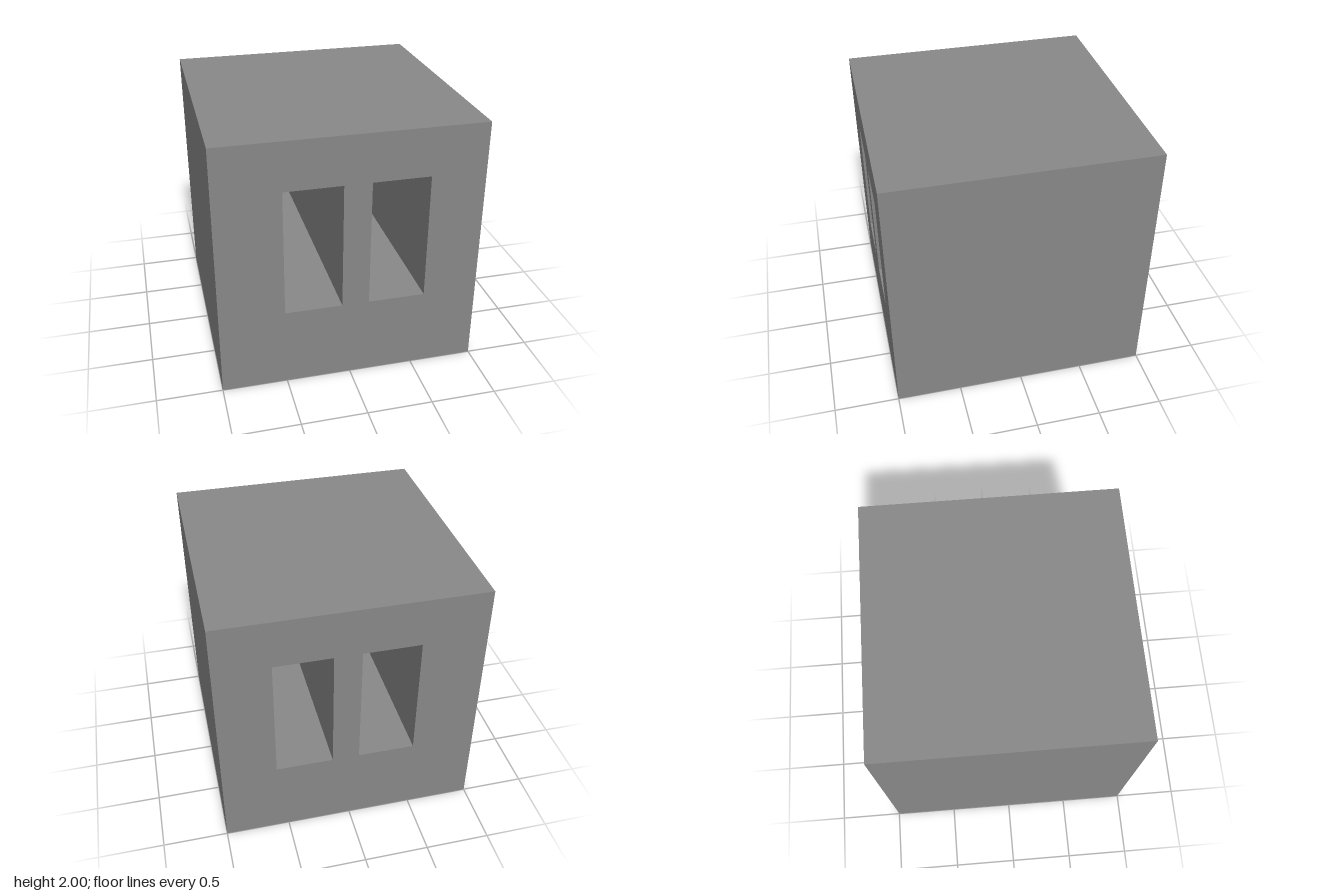
import * as THREE from 'three';

// Axis-aligned rectangle drawn on a Shape or Path
function rectangle(path, x0, y0, x1, y1) {
  path.moveTo(x0, y0);
  path.lineTo(x1, y0);
  path.lineTo(x1, y1);
  path.lineTo(x0, y1);
  path.closePath();
  return path;
}

export function createModel() {
  const size = 2;
  const openingWidth = 0.438;
  const openingBottom = 0.625;
  const openingTop = 1.623;

  // Square block face with two upright openings
  const face = rectangle(new THREE.Shape(), -size / 2, 0, size / 2, size);
  for (const left of [-0.505, 0.141]) {
    face.holes.push(
      rectangle(new THREE.Path(), left, openingBottom, left + openingWidth, openingTop)
    );
  }

  // Openings run straight through from front to back
  const geometry = new THREE.ExtrudeGeometry(face, { depth: size, bevelEnabled: false });
  geometry.translate(0, 0, -size / 2);

  const block = new THREE.Mesh(
    geometry,
    new THREE.MeshStandardMaterial({ color: 0x888888, flatShading: true })
  );
  block.name = 'blockWithOpenings';

  const model = new THREE.Group();
  model.name = 'piercedCube';
  model.add(block);
  return model;
}
